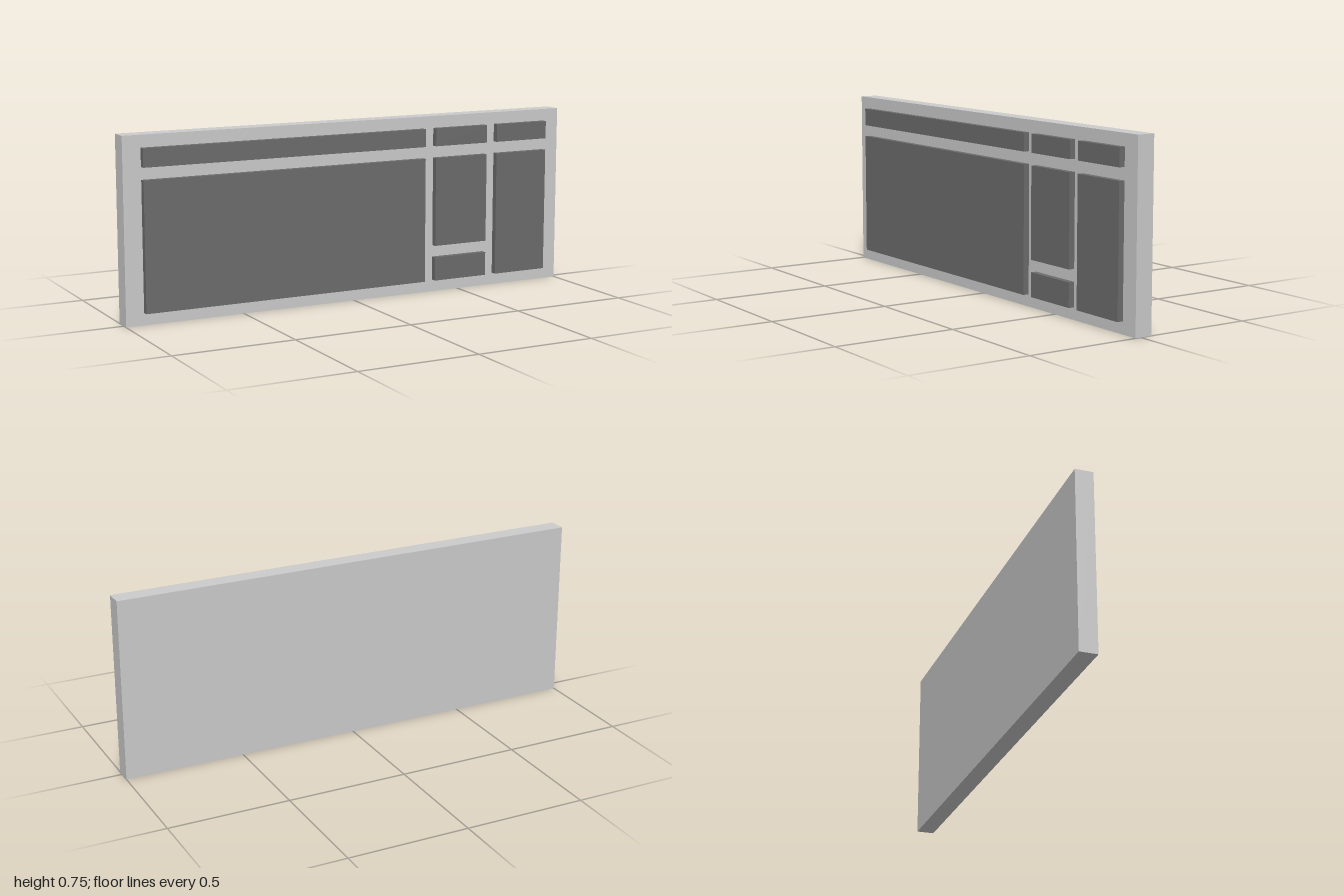
import * as THREE from 'three';

const caseMaterial = new THREE.MeshStandardMaterial({ color: 0xcccccc });
const keyMaterial = new THREE.MeshStandardMaterial({ color: 0x6c6c6c });

// Box spanning the given [min, max] ranges
function block(name, [x0, x1], [y0, y1], [z0, z1], material) {
  const mesh = new THREE.Mesh(new THREE.BoxGeometry(x1 - x0, y1 - y0, z1 - z0), material);
  mesh.position.set((x0 + x1) / 2, (y0 + y1) / 2, (z0 + z1) / 2);
  mesh.name = name;
  return mesh;
}

export function createModel() {
  const keyboard = new THREE.Group();
  keyboard.name = 'keyboard';

  // Flat case
  keyboard.add(block('case', [-1, 1], [0, 0.75], [-0.05, 0.025], caseMaterial));

  // Columns and rows of the raised key blocks
  const main = [-0.925, 0.325], middle = [0.375, 0.625], side = [0.675, 0.925];
  const topRow = [0.625, 0.7], fullRow = [0.05, 0.575];

  const keys = [
    ['functionKeys', main, topRow],
    ['mainKeys', main, fullRow],
    ['systemKeys', middle, topRow],
    ['navigationKeys', middle, [0.2, 0.575]],
    ['arrowKeys', middle, [0.05, 0.15]],
    ['indicatorPanel', side, topRow],
    ['numberPad', side, fullRow],
  ];
  for (const [name, x, y] of keys) {
    keyboard.add(block(name, x, y, [0.025, 0.05], keyMaterial));
  }

  return keyboard;
}
